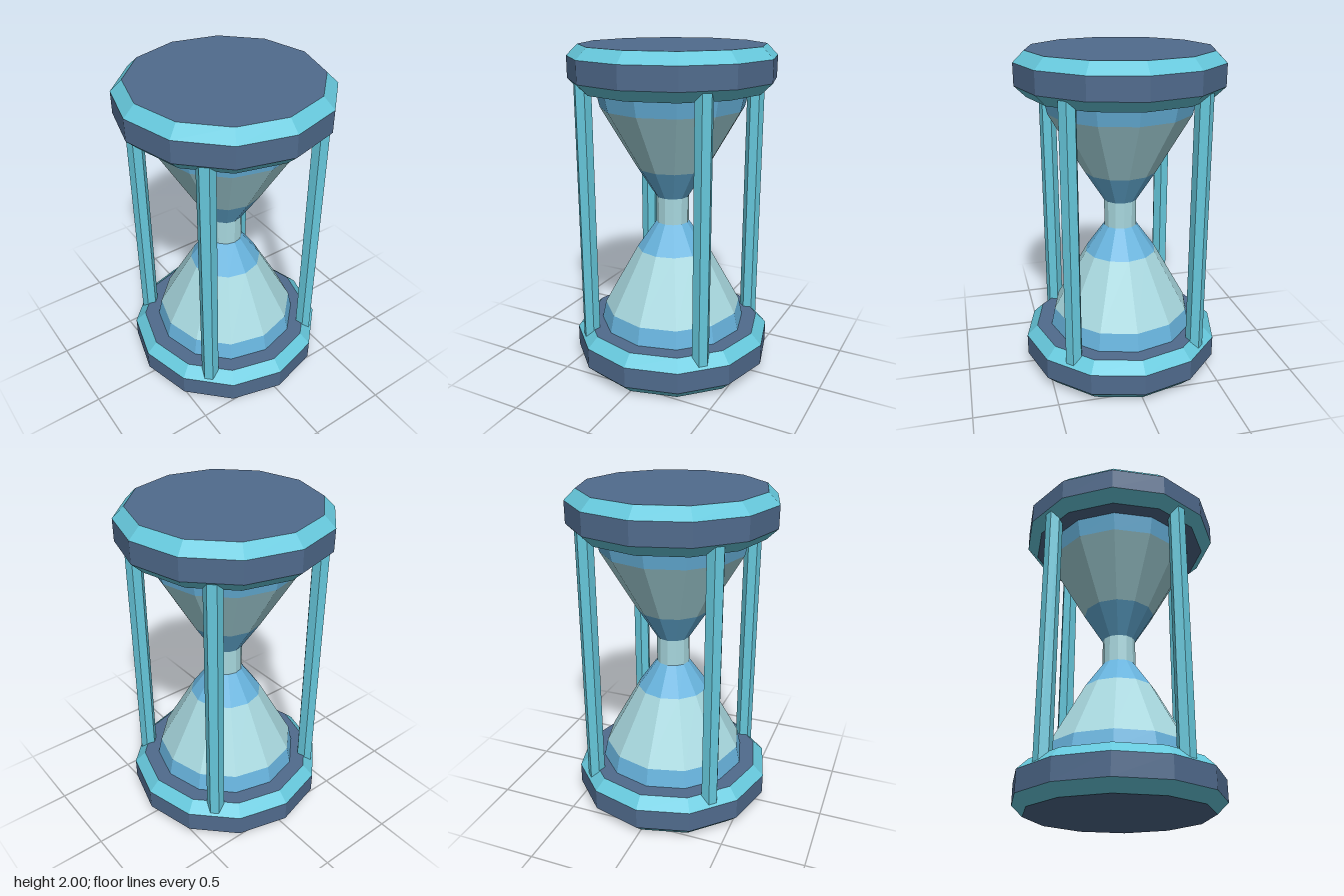
import * as THREE from 'three';

export function createModel() {
  const model = new THREE.Group();
  model.name = 'hourglass';

  const material = (name, color) => {
    const m = new THREE.MeshStandardMaterial({ color, flatShading: true });
    m.name = name;
    return m;
  };
  const navy = material('navy', 0x506b8d);
  const teal = material('teal', 0x66c8dc);
  const glass = material('pale glass', 0xa8d8df);
  const blue = material('blue', 0x68b4de);
  const SIDES = 12;

  // open conical band between two heights
  const band = (parent, name, mat, r0, y0, r1, y1) => {
    const mesh = new THREE.Mesh(new THREE.CylinderGeometry(r1, r0, y1 - y0, SIDES, 1, true), mat);
    mesh.position.y = (y0 + y1) / 2;
    mesh.name = name;
    parent.add(mesh);
  };

  // flat end face, looking up (1) or down (-1)
  const disc = (parent, name, r, y, up) => {
    const mesh = new THREE.Mesh(new THREE.CircleGeometry(r, SIDES), navy);
    mesh.rotation.x = -up * Math.PI / 2;
    mesh.position.y = y;
    mesh.name = name;
    parent.add(mesh);
  };

  // bevelled end plates
  for (const [name, y] of [['basePlate', 0], ['topPlate', 1.74]]) {
    const plate = new THREE.Group();
    plate.name = name;
    plate.position.y = y;
    band(plate, 'lowerBevel', teal, 0.55, 0, 0.617, 0.065);
    band(plate, 'rim', navy, 0.617, 0.065, 0.617, 0.195);
    band(plate, 'upperBevel', teal, 0.617, 0.195, 0.55, 0.26);
    disc(plate, 'underside', 0.55, 0, -1);
    disc(plate, 'upperFace', 0.55, 0.26, 1);
    model.add(plate);
  }

  // glass: two bulbs joined by a narrow neck, [radius, height, colour of the band above]
  const bulbs = new THREE.Group();
  bulbs.name = 'glassBulbs';
  const profile = [
    [0.457, 0.26, 'lowerBand', blue],
    [0.433, 0.37, 'lowerBulb', glass],
    [0.222, 0.75, 'lowerShoulder', blue],
    [0.102, 0.92, 'neck', glass],
    [0.102, 1.085, 'upperShoulder', blue],
    [0.22, 1.27, 'upperBulb', glass],
    [0.433, 1.635, 'upperBand', blue],
    [0.457, 1.74],
  ];
  for (let i = 0; i < profile.length - 1; i++) {
    const [r0, y0, name, mat] = profile[i];
    const [r1, y1] = profile[i + 1];
    band(bulbs, name, mat, r0, y0, r1, y1);
  }
  model.add(bulbs);

  // four six-sided posts, each with a flat side facing outward
  const postShape = new THREE.CylinderGeometry(0.053, 0.053, 1.66, 6);
  postShape.rotateY(Math.PI / 6);
  for (let i = 0; i < 4; i++) {
    const a = Math.PI / 4 + i * Math.PI / 2;
    const post = new THREE.Mesh(postShape, teal);
    post.position.set(Math.sin(a) * 0.537, 1, Math.cos(a) * 0.537);
    post.rotation.y = a;
    post.name = 'post' + (i + 1);
    model.add(post);
  }

  return model;
}
